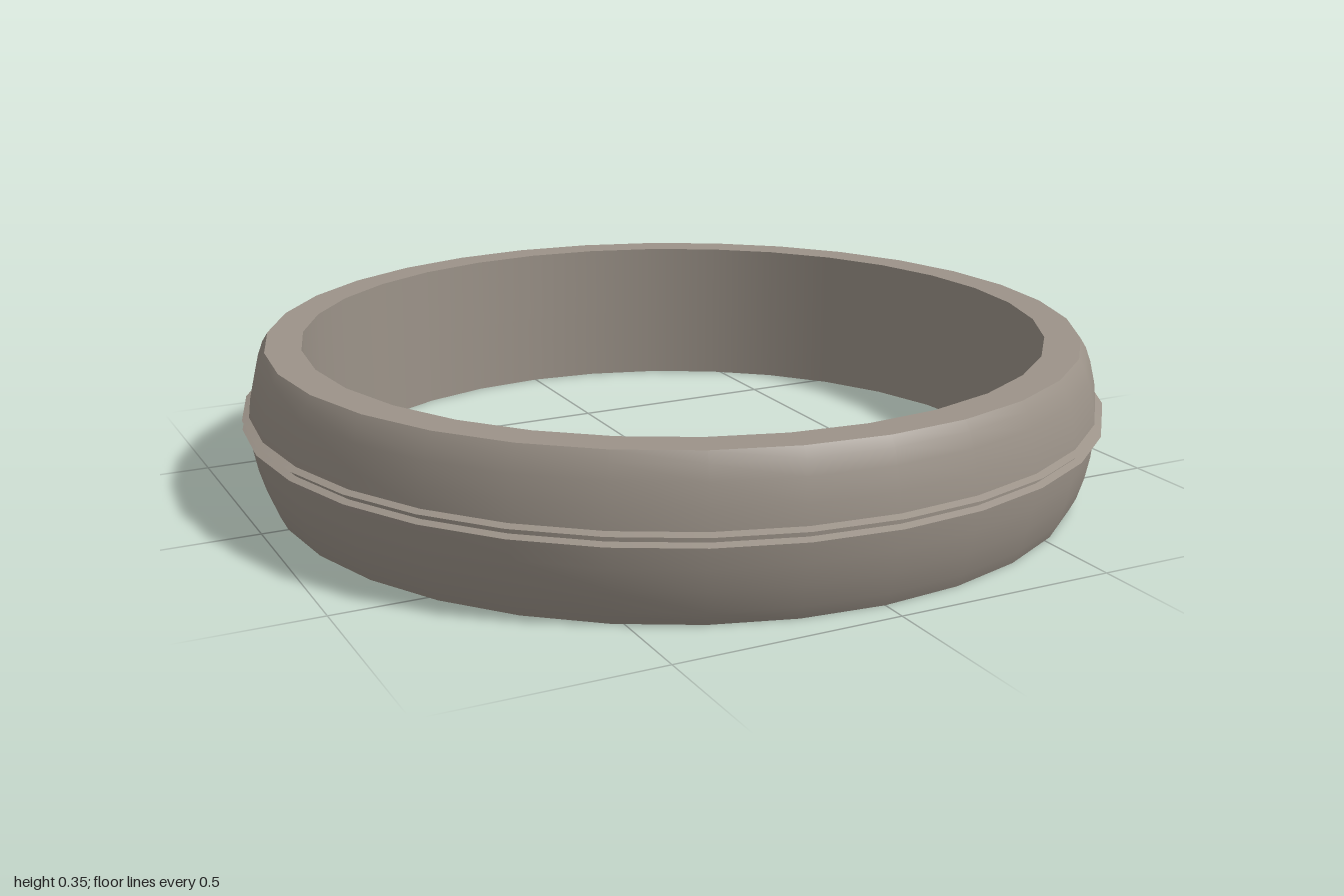
import * as THREE from 'three';

const SEGMENTS = 32;

export function createModel() {
  const group = new THREE.Group();
  group.name = 'ring';
  const metal = new THREE.MeshStandardMaterial({ color: 0x9c9389 });
  metal.name = 'warm grey metal';

  // Each strip is revolved separately so the edges between strips stay sharp.
  const strip = (name, profile) => {
    const points = profile.map(([r, y]) => new THREE.Vector2(r, y));
    const mesh = new THREE.Mesh(new THREE.LatheGeometry(points, SEGMENTS), metal);
    mesh.name = name;
    group.add(mesh);
  };

  // Flat rims and the bore
  strip('bottomRim', [[0.86, 0], [0.94, 0]]);
  strip('topRim', [[0.942, 0.354], [0.86, 0.354]]);
  strip('innerBore', [[0.86, 0.354], [0.86, 0.177], [0.86, 0]]);

  // Domed outer bands below and above the central ridges
  strip('lowerBand', [[0.94, 0], [0.955, 0.03], [0.97, 0.08], [0.98, 0.13], [0.984, 0.174]]);
  strip('upperBand', [[0.984, 0.207], [0.979, 0.25], [0.967, 0.3], [0.955, 0.333], [0.942, 0.354]]);

  // Two fine ridges with a groove between them
  for (const [name, y] of [['lowerRidge', 0.18], ['upperRidge', 0.201]]) {
    strip(name + 'Underside', [[0.984, y - 0.006], [1, y]]);
    strip(name + 'Topside', [[1, y], [0.984, y + 0.006]]);
  }
  strip('centreGroove', [[0.984, 0.186], [0.984, 0.195]]);

  return group;
}
